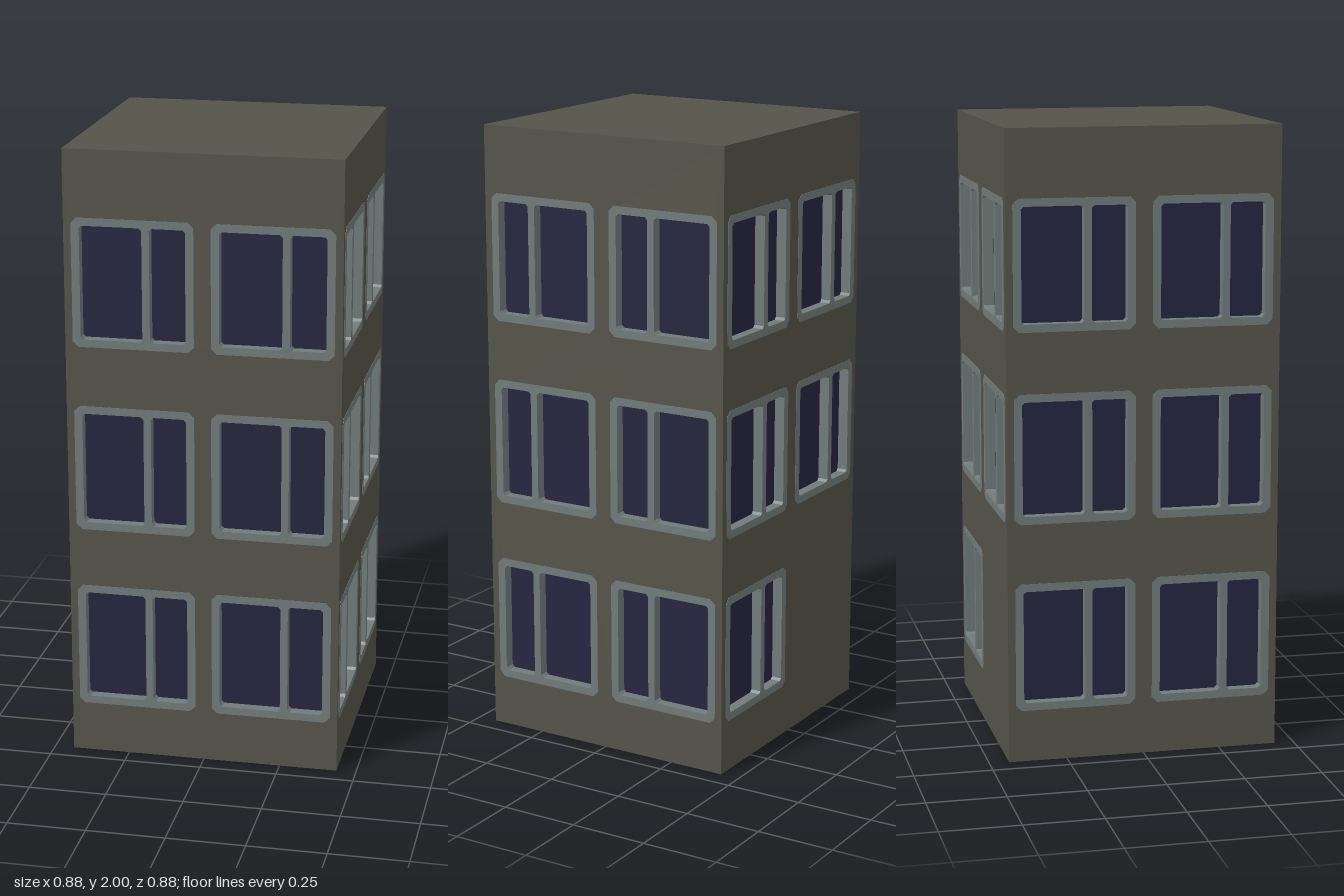
import * as THREE from 'three';

const HALF = 0.437, HEIGHT = 2;
const COLUMNS = [-0.22, 0.22], ROWS = [0.372, 0.975, 1.58];
const DEPTH = 0.035; // how far the glass sits behind the wall

const wallMat = new THREE.MeshStandardMaterial({ name: 'wall grey', color: 0x55544a });
const frameMat = new THREE.MeshStandardMaterial({ name: 'frame grey', color: 0x707b79 });
const glassMat = new THREE.MeshStandardMaterial({ name: 'dark glass', color: 0x25253f });

// Rectangle with cut corners, as points
function cutRect(x0, x1, y0, y1, c) {
  return [
    [x0 + c, y0], [x1 - c, y0], [x1, y0 + c], [x1, y1 - c],
    [x1 - c, y1], [x0 + c, y1], [x0, y1 - c], [x0, y0 + c],
  ].map(([x, y]) => new THREE.Vector2(x, y));
}

function mesh(name, geometry, material) {
  const m = new THREE.Mesh(geometry, material);
  m.name = name;
  return m;
}

// Frame with a wide and a narrow opening; the post between them is part of it
const frameShape = new THREE.Shape(cutRect(-0.193, 0.193, -0.206, 0.206, 0.018));
frameShape.holes.push(
  new THREE.Path(cutRect(-0.167, 0.03, -0.181, 0.181, 0.008)),
  new THREE.Path(cutRect(0.054, 0.167, -0.181, 0.181, 0.008)),
);
const frameGeo = new THREE.ExtrudeGeometry(frameShape, { depth: DEPTH + 0.001, bevelEnabled: false });
frameGeo.translate(0, 0, -DEPTH);
const glassGeo = new THREE.PlaneGeometry(0.36, 0.386);

function makeWindow(mirrored) {
  const g = new THREE.Group();
  g.name = 'window';
  const frame = mesh('windowFrame', frameGeo, frameMat);
  if (mirrored) frame.rotation.z = Math.PI; // narrow pane on the other side
  const glass = mesh('windowGlass', glassGeo, glassMat);
  glass.position.z = -DEPTH + 0.002;
  g.add(frame, glass);
  return g;
}

// One wall with openings and windows; built facing +z, then turned
function makeWall(name, angle, mirrored, skip) {
  const g = new THREE.Group();
  g.name = name;
  const shape = new THREE.Shape(cutRect(-HALF, HALF, 0, HEIGHT, 0));
  ROWS.forEach((y, row) => COLUMNS.forEach((x, col) => {
    if (skip && skip(row, col)) return;
    shape.holes.push(new THREE.Path(cutRect(x - 0.18, x + 0.18, y - 0.193, y + 0.193, 0.001)));
    const w = makeWindow(mirrored);
    w.position.set(x, y, HALF);
    g.add(w);
  }));
  const face = mesh('wallFace', new THREE.ShapeGeometry(shape), wallMat);
  face.position.z = HALF;
  g.add(face);
  g.rotation.y = angle;
  return g;
}

export function createModel() {
  const model = new THREE.Group();
  model.name = 'apartmentBlock';
  model.add(
    makeWall('frontWall', 0, false),
    makeWall('leftWall', Math.PI / 2, true),
    // the back lacks its lower window on one side
    makeWall('backWall', Math.PI, false, (row, col) => row === 0 && col === 1),
    makeWall('rightWall', -Math.PI / 2, false),
  );

  // Flat roof and underside
  const slab = new THREE.PlaneGeometry(2 * HALF, 2 * HALF);
  const roof = mesh('roof', slab, wallMat);
  roof.rotation.x = -Math.PI / 2;
  roof.position.y = HEIGHT;
  const base = mesh('underside', slab, wallMat);
  base.rotation.x = Math.PI / 2;
  model.add(roof, base);
  return model;
}
